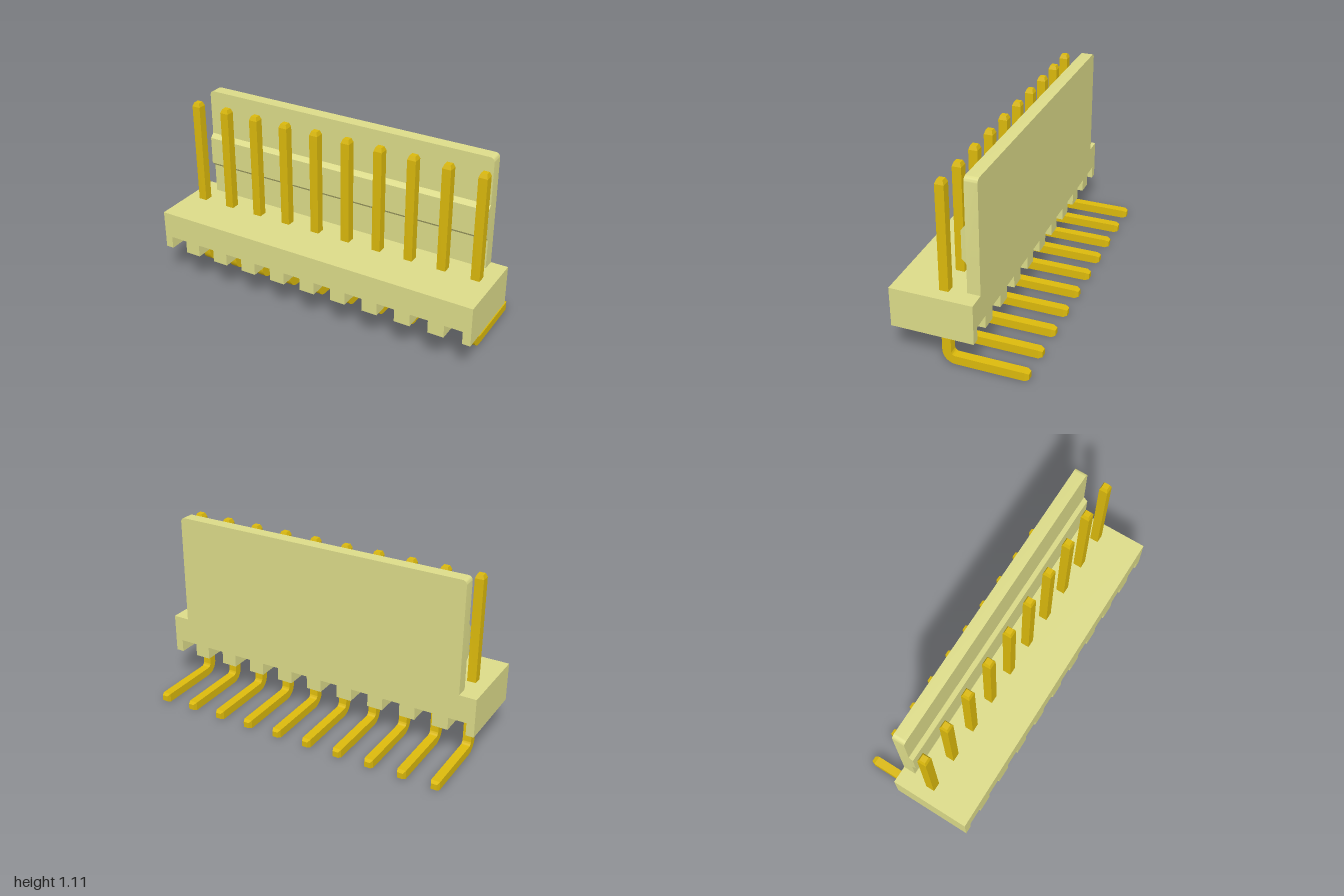
import * as THREE from 'three';
import { toCreasedNormals } from 'three/addons/utils/BufferGeometryUtils.js';

const COUNT = 10, PITCH = 0.2;
const pinX = (i) => (i - (COUNT - 1) / 2) * PITCH;

// Extrude an outline in x/y from z0 to z1
function extrudeZ(points, z0, z1) {
  const shape = new THREE.Shape(points.map(([x, y]) => new THREE.Vector2(x, y)));
  return new THREE.ExtrudeGeometry(shape, { depth: z1 - z0, bevelEnabled: false }).translate(0, 0, z0);
}

// Square wire swept down, round the bend and backwards, with tapered tips
function pinGeometry() {
  const h = 0.0255, tip = 0.017, z0 = 0.091, r = 0.05, steps = 10;
  // each station: z, y, turn angle, half width
  const stations = [[z0, 1.08, 0, tip], [z0, 1.057, 0, h]];
  for (let i = 0; i <= steps; i++) {
    const a = (i / steps) * Math.PI / 2;
    stations.push([z0 - r + r * Math.cos(a), h + r - r * Math.sin(a), a, h]);
  }
  stations.push([-0.345, h, Math.PI / 2, h], [-0.367, h, Math.PI / 2, tip]);

  const pos = [], idx = [];
  for (const [z, y, a, s] of stations) {
    for (const [u, v] of [[-1, -1], [1, -1], [1, 1], [-1, 1]]) {
      pos.push(u * s, y - v * s * Math.sin(a), z + v * s * Math.cos(a));
    }
  }
  for (let i = 0; i < stations.length - 1; i++) {
    for (let k = 0; k < 4; k++) {
      const a = i * 4 + k, b = i * 4 + (k + 1) % 4;
      idx.push(a, a + 4, b, b, a + 4, b + 4);
    }
  }
  const e = (stations.length - 1) * 4;
  idx.push(0, 2, 3, 0, 1, 2, e, e + 2, e + 1, e, e + 3, e + 2);
  // caps: start faces up, end faces back
  for (let i = idx.length - 12; i < idx.length; i += 3) {
    [idx[i + 1], idx[i + 2]] = [idx[i + 2], idx[i + 1]];
  }
  const g = new THREE.BufferGeometry();
  g.setAttribute('position', new THREE.Float32BufferAttribute(pos, 3));
  g.setIndex(idx);
  orient(g);
  return toCreasedNormals(g, Math.PI / 9);
}

// Flip the winding if the closed mesh encloses negative volume, caps checked by facing
function orient(g) {
  const p = g.attributes.position, ix = g.index.array;
  const v = (i) => new THREE.Vector3().fromBufferAttribute(p, i);
  const facing = (t, axis) => {
    const a = v(ix[t]), b = v(ix[t + 1]), c = v(ix[t + 2]);
    return b.sub(a).cross(c.sub(a)).dot(axis);
  };
  const flip = (t) => { const s = ix[t + 1]; ix[t + 1] = ix[t + 2]; ix[t + 2] = s; };
  const n = ix.length;
  // the first wall triangle lies on the front (+z) or back side of the upright
  const walls = n - 12;
  const sideNormal = new THREE.Vector3(0, 0, -1);
  if (facing(0, sideNormal) < 0) for (let t = 0; t < walls; t += 3) flip(t);
  for (let t = walls; t < n; t += 3) {
    const axis = t < walls + 6 ? new THREE.Vector3(0, 1, 0) : new THREE.Vector3(0, 0, -1);
    if (facing(t, axis) < 0) flip(t);
  }
}

export function createModel() {
  const group = new THREE.Group();
  const plastic = new THREE.MeshStandardMaterial({ color: 0xdcdb89 });
  const gold = new THREE.MeshStandardMaterial({ color: 0xdbb90c });
  const add = (name, geometry, material) => {
    const mesh = new THREE.Mesh(geometry, material);
    mesh.name = name;
    group.add(mesh);
    return mesh;
  };

  // Base block with a slot under every pin
  const outline = [[1, 0.45], [-1, 0.45], [-1, 0.217]];
  for (let i = 0; i < COUNT; i++) {
    const x = pinX(i), w = 0.053;
    outline.push([x - w, 0.217], [x - w, 0.293], [x + w, 0.293], [x + w, 0.217]);
  }
  outline.push([1, 0.217]);
  add('base', extrudeZ(outline, -0.1, 0.367), plastic);

  // Upright back plate with rounded top corners
  const W = 0.9, top = 1.11, r = 0.025;
  const plate = [[-W, 0.45], [W, 0.45]];
  for (const [side, start] of [[1, 0], [-1, Math.PI / 2]]) {
    for (let i = 0; i <= 6; i++) {
      const a = start + (i / 6) * Math.PI / 2;
      plate.push([side * (W - r) + r * Math.cos(a), top - r + r * Math.sin(a)]);
    }
  }
  add('backPlate', toCreasedNormals(extrudeZ(plate, -0.1, -0.027), Math.PI / 6), plastic);

  // Bevelled locking ridge along the plate's front
  const ridge = extrudeZ([[0.027, 0.625], [0.027, 0.838], [0.003, 0.813], [0.003, 0.648]], -W, W);
  ridge.rotateY(Math.PI / 2);
  add('lockingRidge', ridge, plastic);

  // Row of bent pins
  const pin = pinGeometry();
  for (let i = 0; i < COUNT; i++) add('pin' + (i + 1), pin, gold).position.x = pinX(i);

  return group;
}
